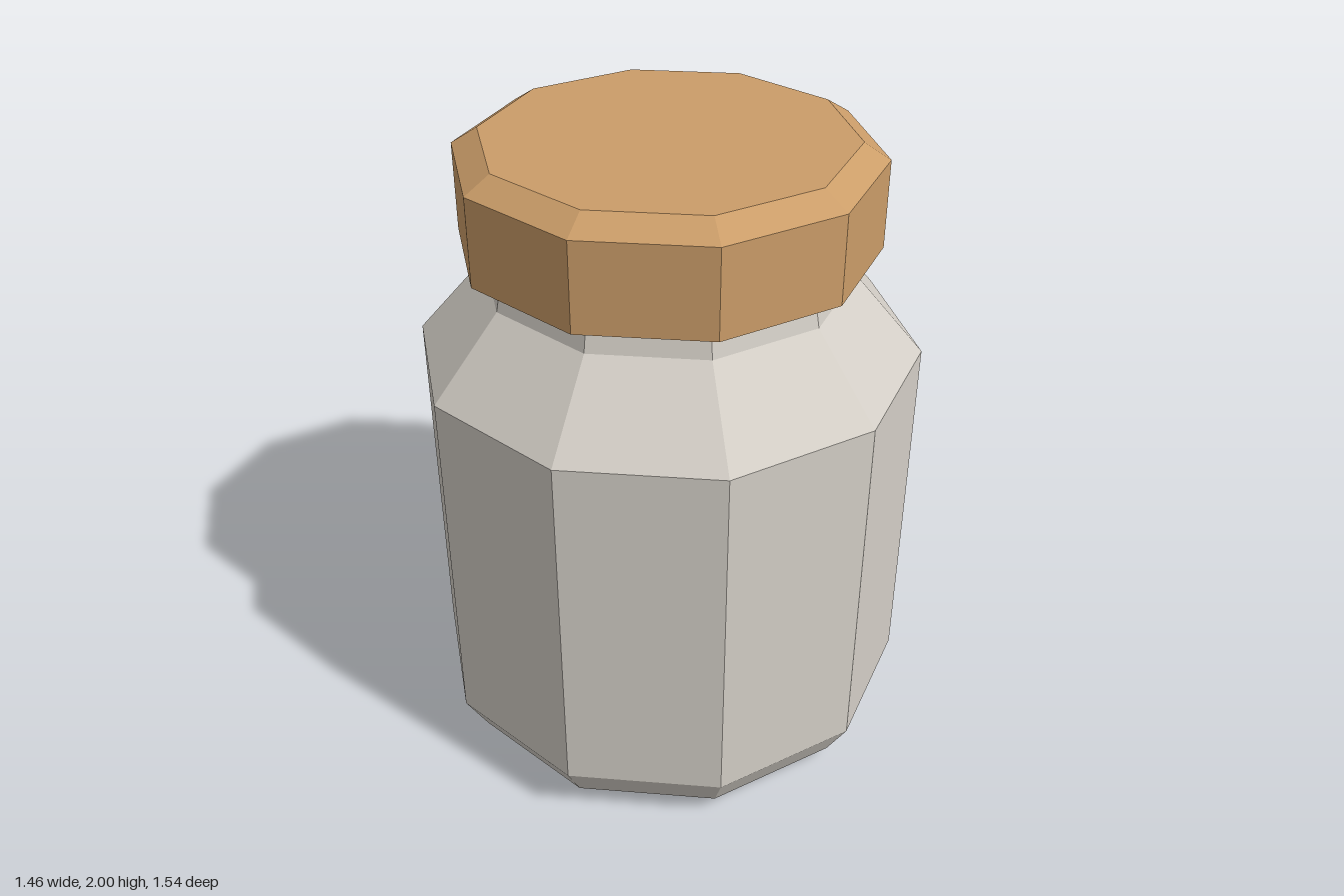
import * as THREE from 'three';

const SIDES = 10;

// Closed ten-sided solid turned around y; profile is [radius, height] from bottom to top
function turned(name, profile, material) {
  const points = profile.map(([r, y]) => new THREE.Vector2(r, y));
  const mesh = new THREE.Mesh(new THREE.LatheGeometry(points, SIDES), material);
  mesh.name = name;
  return mesh;
}

export function createModel() {
  const glass = new THREE.MeshStandardMaterial({ color: 0xd4cfc7, flatShading: true });
  glass.name = 'pale grey';
  const cork = new THREE.MeshStandardMaterial({ color: 0xcb9d69, flatShading: true });
  cork.name = 'cork brown';

  const jar = new THREE.Group();
  jar.name = 'jar';

  // Body: chamfered base, straight wall, sloped shoulder and short neck
  jar.add(turned('body', [
    [0, 0], [0.585, 0], [0.7, 0.055], [0.77, 0.18], [0.77, 1.34],
    [0.558, 1.585], [0.545, 1.65], [0, 1.65],
  ], glass));

  // Lid: bevelled at both rims
  jar.add(turned('lid', [
    [0, 1.64], [0.555, 1.64], [0.628, 1.68], [0.628, 1.95], [0.549, 2], [0, 2],
  ], cork));

  return jar;
}
